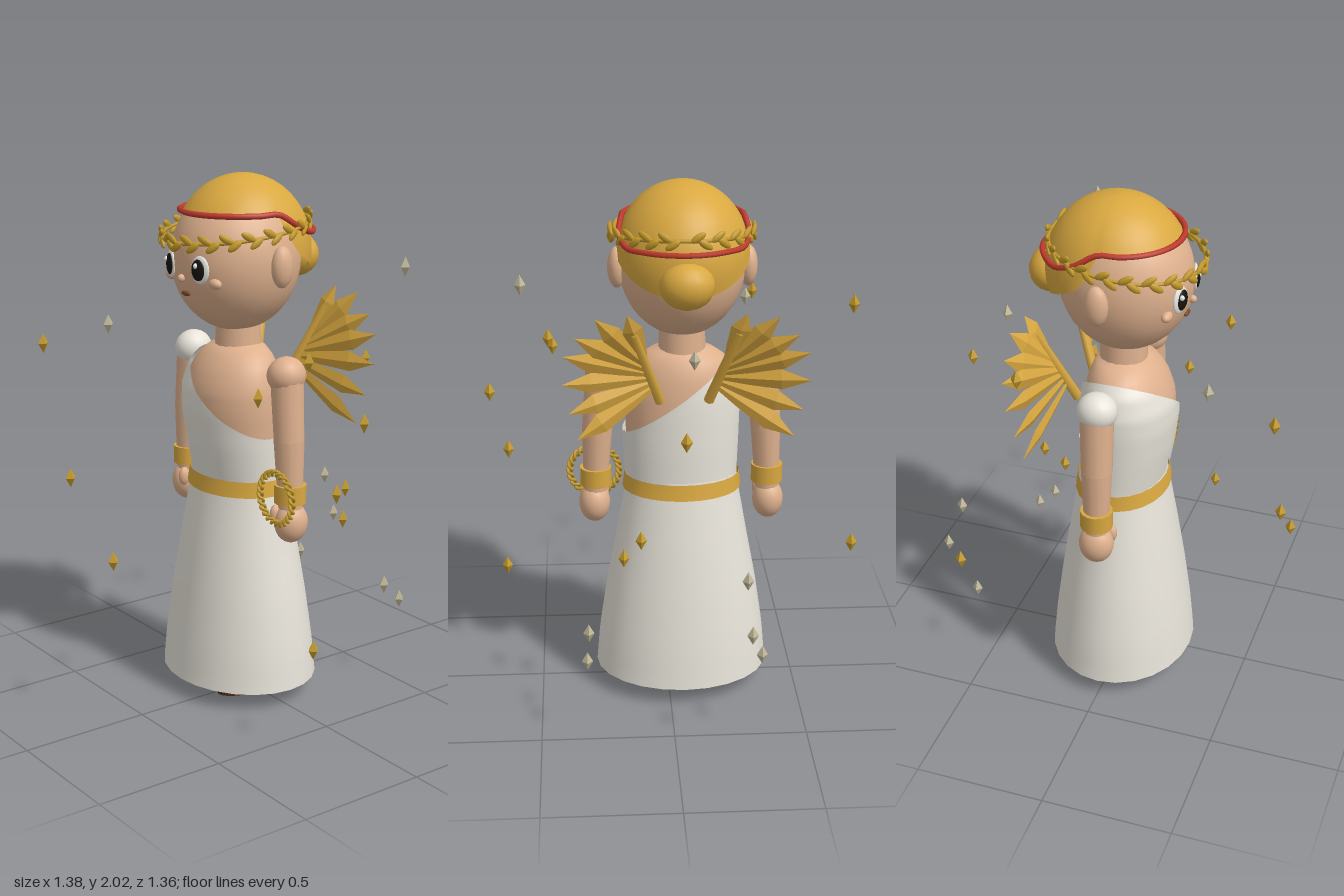
import * as THREE from 'three';

const mat = (name, color) => {
  const m = new THREE.MeshStandardMaterial({ color, side: THREE.DoubleSide });
  m.name = name;
  return m;
};
const V = (x, y, z) => new THREE.Vector3(x, y, z);
const lerp = THREE.MathUtils.lerp;
const TAU = Math.PI * 2;

export function createModel() {
  const skin = mat('skin', 0xdfb18e), cloth = mat('cloth', 0xe8e4da), gold = mat('gold', 0xd9a840);
  const oldGold = mat('old gold', 0xc49a2a), silver = mat('silver', 0xbfb798), red = mat('red', 0xc23b2e);
  const brown = mat('brown leather', 0x7d4a2b), dark = mat('dark leather', 0x4e2c1a);
  const black = mat('black', 0x17140f), white = mat('white', 0xf7f5ef);

  const model = new THREE.Group();
  const figure = new THREE.Group();
  figure.name = 'figure';
  figure.position.x = -0.055;
  model.add(figure);

  const add = (name, geo, material, parent = figure) => {
    const m = new THREE.Mesh(geo, material);
    m.name = name;
    parent.add(m);
    return m;
  };
  const ball = (name, material, p, r, ws = 20, hs = 14) => {
    const m = add(name, new THREE.SphereGeometry(1, ws, hs), material);
    m.position.set(...p);
    m.scale.set(...r);
    return m;
  };
  const limb = (name, material, a, b, ra, rb, seg = 12) => {
    const m = add(name, new THREE.CylinderGeometry(rb, ra, a.distanceTo(b), seg), material);
    m.position.copy(a).lerp(b, 0.5);
    m.quaternion.setFromUnitVectors(V(0, 1, 0), b.clone().sub(a).normalize());
    return m;
  };
  // Surface wrapped around the y axis: f(azimuth, v) returns a point
  const wrap = (f, nu, nv) => {
    const pos = [], idx = [];
    for (let j = 0; j <= nv; j++) for (let i = 0; i < nu; i++) pos.push(...f(i / nu * TAU, j / nv));
    for (let j = 0; j < nv; j++) for (let i = 0; i < nu; i++) {
      const a = j * nu + i, b = j * nu + (i + 1) % nu;
      idx.push(a, b, b + nu, a, b + nu, a + nu);
    }
    const g = new THREE.BufferGeometry();
    g.setAttribute('position', new THREE.Float32BufferAttribute(pos, 3));
    g.setIndex(idx);
    g.computeVertexNormals();
    return g;
  };
  const closedTube = (pts, r, n) =>
    new THREE.TubeGeometry(new THREE.CatmullRomCurve3(pts, true), n, r, 6, true);
  const ringPoints = (n, f) => Array.from({ length: n }, (_, i) => f(i / n * TAU));
  // Interpolate rows [y, width, front z, back z]
  const section = (rows, y) => {
    let k = 0;
    while (k < rows.length - 2 && y > rows[k + 1][0]) k++;
    const t = THREE.MathUtils.clamp((y - rows[k][0]) / (rows[k + 1][0] - rows[k][0]), 0, 1);
    return rows[k].map((c, i) => lerp(c, rows[k + 1][i], t));
  };
  const around = (rows, a, y, grow = 0) => {
    const [, w, f, b] = section(rows, y);
    return [(w + grow) * Math.sin(a), y, (f + b) / 2 + ((f - b) / 2 + grow) * Math.cos(a)];
  };

  // Skirt and belt
  const skirt = [[0.05, 0.337, 0.28, -0.28], [0.2, 0.324, 0.265, -0.265], [0.4, 0.294, 0.238, -0.238],
    [0.6, 0.256, 0.207, -0.207], [0.8, 0.22, 0.172, -0.172], [0.87, 0.212, 0.16, -0.16]];
  add('skirt', wrap((a, v) => around(skirt, a, lerp(0.05, 0.87, v)), 24, 12), cloth);
  add('belt', wrap((a, v) => around(skirt, a, lerp(0.805, 0.866, v), 0.009), 24, 2), gold);

  // Torso with diagonal drape over the right shoulder
  const torso = [[0.85, 0.205, 0.152, -0.152], [1.0, 0.212, 0.178, -0.152], [1.12, 0.216, 0.192, -0.148],
    [1.2, 0.213, 0.19, -0.143], [1.28, 0.193, 0.162, -0.13], [1.33, 0.16, 0.125, -0.11], [1.37, 0.1, 0.085, -0.085],
    [1.385, 0.03, 0.03, -0.03]];
  add('torso', wrap((a, v) => around(torso, a, lerp(0.85, 1.385, v)), 28, 18), skin);
  const edge = (a, base, slope) => {
    let y = 1.1;
    for (let i = 0; i < 12; i++) y = lerp(y, base - slope * section(torso, y)[1] * Math.sin(a), 0.5);
    return THREE.MathUtils.clamp(y, 0.855, 1.36);
  };
  const top = a => edge(a, 1.195, 0.78);
  add('bodice', wrap((a, v) => around(torso, a, lerp(0.855, top(a), v), 0.007), 40, 12), cloth);
  add('sash', wrap((a, v) => around(torso, a, lerp(edge(a, 0.935, 1.1), top(a) + 0.004, v), 0.014), 40, 10), cloth);
  add('neck', new THREE.CylinderGeometry(0.085, 0.09, 0.11, 16), skin).position.set(0, 1.4, 0);

  // Arms, legs and sandals
  for (const s of [1, -1]) {
    const side = s > 0 ? 'left' : 'right';
    const shoulder = V(s * 0.3, 1.29, 0), elbow = V(s * 0.322, 1.05, 0.005), wrist = V(s * 0.333, 0.79, 0.005);
    ball(side + 'Shoulder', s > 0 ? skin : cloth, [s * 0.297, 1.29, 0], [0.07, 0.07, 0.075]);
    limb(side + 'UpperArm', skin, shoulder, elbow, 0.063, 0.058);
    ball(side + 'Elbow', skin, elbow.toArray(), [0.058, 0.058, 0.058], 12, 8);
    limb(side + 'Forearm', skin, elbow, wrist, 0.058, 0.046);
    limb(side + 'Bracelet', gold, V(s * 0.331, 0.812, 0.005), V(s * 0.331, 0.882, 0.005), 0.061, 0.061, 14);
    ball(side + 'Hand', skin, [s * 0.337, 0.735, 0.005], [0.06, 0.078, 0.066]);
    ball(side + 'Thumb', skin, [s * 0.3, 0.765, 0.05], [0.02, 0.038, 0.024], 10, 8);

    const x = s * 0.115;
    limb(side + 'Leg', skin, V(x, 0.04, 0), V(x, 0.6, 0), 0.045, 0.065);
    ball(side + 'Foot', skin, [x, 0.045, 0.06], [0.052, 0.034, 0.105], 14, 10);
    [[0.008, 0.016, dark, 'Sole'], [0.026, 0.02, brown, 'Sandal']].forEach(([y, h, m, n], i) => {
      const o = add(side + n, new THREE.CylinderGeometry(1, 1, h, 20), m);
      o.position.set(x, y, 0.058);
      o.scale.set(0.068 - i * 0.006, 1, 0.123 - i * 0.006);
    });
    for (const [y, z, r] of [[0.055, 0.1, 0.045], [0.12, 0, 0.05], [0.19, 0, 0.053]]) {
      const strap = add(side + 'SandalStrap', new THREE.TorusGeometry(r, 0.01, 6, 16), brown);
      strap.position.set(x, y, z);
      strap.rotation.x = z ? 0 : Math.PI / 2;
      if (z) strap.position.y = 0.036;
    }
  }

  // Head and face
  ball('head', skin, [0, 1.69, 0.01], [0.236, 0.275, 0.248], 28, 20);
  for (const s of [1, -1]) {
    ball('ear', skin, [s * 0.242, 1.68, -0.02], [0.035, 0.078, 0.045], 14, 10);
    const eye = new THREE.Group();
    eye.name = s > 0 ? 'leftEye' : 'rightEye';
    eye.position.set(s * 0.093, 1.675, 0.239);
    eye.rotation.y = s * 0.3;
    figure.add(eye);
    const disc = (name, m, x, y, z, rx, ry) => {
      const o = add(name, new THREE.SphereGeometry(1, 18, 10), m, eye);
      o.position.set(x, y, z);
      o.scale.set(rx, ry, 0.012);
    };
    disc('eyeWhite', white, 0, 0, 0, 0.041, 0.052);
    disc('pupil', black, -s * 0.004, 0, 0.006, 0.031, 0.04);
    disc('glint', white, -0.01, 0.016, 0.013, 0.009, 0.011);
    ball('cheek', skin, [s * 0.138, 1.626, 0.205], [0.031, 0.02, 0.02], 14, 10);
  }
  ball('nose', skin, [0, 1.635, 0.258], [0.014, 0.015, 0.016], 10, 8);
  ball('mouth', brown, [0, 1.577, 0.238], [0.026, 0.01, 0.01], 12, 8);

  // Hair with a high front line and a low nape, plus bun
  const hairline = c => c > 0 ? 1.865 : c > -0.22 ? lerp(1.865, 1.735, -c / 0.22) : lerp(1.735, 1.62, (-c - 0.22) / 0.78);
  const hairPoint = (a, e, grow = 0) => [(0.25 + grow) * Math.cos(e) * Math.sin(a), 1.72 + 0.28 * Math.sin(e),
    -0.02 + (0.265 + grow) * Math.cos(e) * Math.cos(a)];
  const elevation = y => Math.asin((y - 1.72) / 0.28);
  add('hair', wrap((a, v) => hairPoint(a, lerp(elevation(hairline(Math.cos(a))), Math.PI / 2, v)), 40, 12), gold);
  ball('bun', gold, [0, 1.675, -0.272], [0.1, 0.086, 0.084], 16, 12);

  // Red ribbon
  const ribbon = ringPoints(20, a => {
    const drop = THREE.MathUtils.smoothstep(-Math.cos(a), 0.05, 0.5);
    return V(...hairPoint(a, elevation(1.868 - 0.078 * drop), 0.014));
  });
  add('ribbon', closedTube(ribbon, 0.011, 60), red);

  // Leaf wreath, tipped up at the back
  const wreathAt = a => V(0.262 * Math.sin(a), 1.803 - 0.033 * Math.cos(a), 0.012 + 0.28 * Math.cos(a));
  add('wreathRing', closedTube(ringPoints(24, wreathAt), 0.007, 64), oldGold);
  const leafGeo = new THREE.SphereGeometry(1, 8, 6);
  leafGeo.scale(0.009, 0.031, 0.014);
  for (let i = 0; i < 22; i++) for (const up of [1, -1]) {
    const a = (i + (up > 0 ? 0.25 : 0.6)) / 22 * TAU, p = wreathAt(a);
    const dir = wreathAt(a + 0.05).sub(p).normalize().multiplyScalar(Math.sin(a) > 0 ? -1 : 1);
    dir.y += up * 0.65;
    dir.normalize();
    const out = V(Math.sin(a), 0, Math.cos(a));
    const wide = dir.clone().cross(out).normalize();
    const leaf = add('wreathLeaf', leafGeo, oldGold);
    leaf.quaternion.setFromRotationMatrix(new THREE.Matrix4().makeBasis(wide.clone().cross(dir).negate(), dir, wide));
    leaf.position.copy(p).addScaledVector(dir, 0.024).addScaledVector(out, 0.004);
  }

  // Wings: a spar with a fan of faceted feathers
  const tips = [[0.215, 1.58, -0.3], [0.33, 1.57, -0.31], [0.405, 1.5, -0.305], [0.447, 1.43, -0.3],
    [0.452, 1.32, -0.29], [0.43, 1.2, -0.27], [0.4, 1.09, -0.25]];
  const profile = [[0.012, 0], [0.026, 0.3], [0.038, 0.68], [0.0, 1]].map(p => new THREE.Vector2(...p));
  const featherGeo = new THREE.LatheGeometry(profile, 4).toNonIndexed();
  featherGeo.computeVertexNormals();
  for (const s of [1, -1]) {
    const root = V(s * 0.09, 1.2, -0.15), end = V(s * 0.19, 1.5, -0.27);
    limb('wingSpar', gold, root, end, 0.02, 0.016, 6);
    tips.forEach((t, i) => {
      const tip = V(s * t[0], t[1], t[2]);
      const base = root.clone().lerp(end, 0.6 - i * 0.06);
      const dir = tip.clone().sub(base), len = dir.length();
      dir.normalize();
      const x = dir.clone().cross(V(0, 0, 1)).normalize();
      const f = add('wingFeather', featherGeo, gold);
      f.position.copy(base);
      f.quaternion.setFromRotationMatrix(new THREE.Matrix4().makeBasis(x, dir, x.clone().cross(dir)));
      f.scale.set(1, len, 0.35);
    });
  }

  // Twisted hoop on the left wrist
  for (const phase of [0, Math.PI]) {
    const strand = ringPoints(96, t => {
      const r = 0.096 + 0.009 * Math.cos(12 * t + phase);
      return V(r * Math.cos(t), r * Math.sin(t), 0.009 * Math.sin(12 * t + phase));
    });
    add('twistedHoop', closedTube(strand, 0.006, 144), oldGold).position.set(0.335, 0.84, 0.075);
  }

  // Floating sparkles
  const sparkGeo = new THREE.OctahedronGeometry(1);
  sparkGeo.scale(0.021, 0.037, 0.021);
  const sparkles = (name, m, list) => list.forEach(p => add(name, sparkGeo, m, model).position.set(...p));
  sparkles('goldSparkle', oldGold, [[-0.67, 1.57, -0.17], [0.67, 1.2, -0.01], [0.61, 0.94, 0.06], [0.637, 0.385, 0.18],
    [-0.65, 0.74, -0.43], [0.447, 1.385, 0.06], [0.434, 1.285, 0.275], [-0.214, 0.905, 0.657], [0.05, 0.65, 0.643],
    [-0.388, 1.385, 0.655], [-0.032, 1.22, -0.62], [0.118, 0.75, -0.397], [0.18, 0.65, -0.335]]);
  sparkles('silverSparkle', silver, [[0.532, 1.7, -0.308], [0.316, 0.395, -0.437], [0.323, 0.32, -0.512],
    [-0.334, 1.435, 0.403], [-0.07, 1.46, -0.452], [-0.256, 0.675, -0.6], [-0.27, 0.49, -0.663], [-0.322, 0.335, -0.525]]);
  return model;
}
